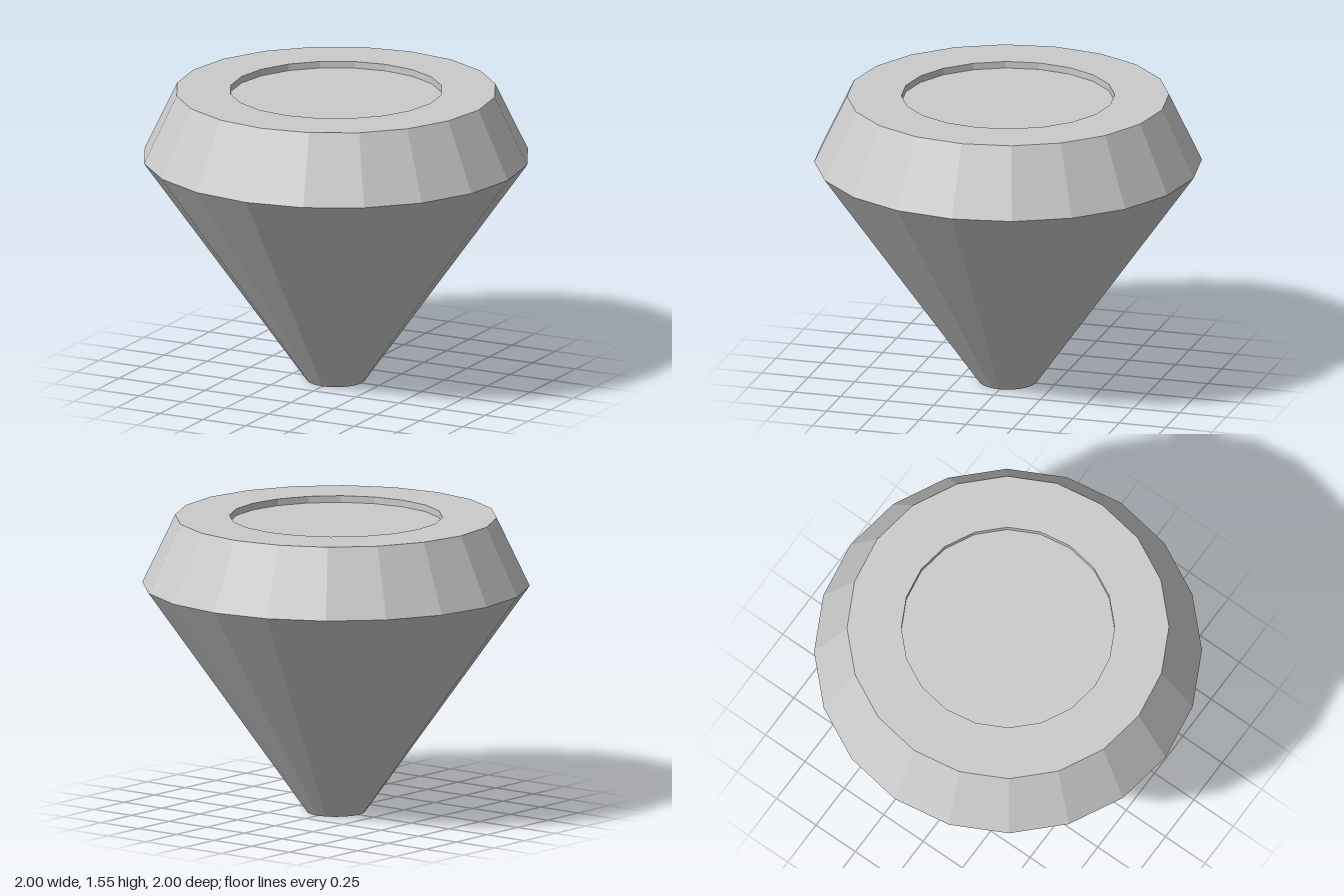
import * as THREE from 'three';

const SIDES = 20;

// Revolves a bottom-to-top [radius, height] profile into a faceted ring
function facetedPart(name, profile, material) {
  const points = profile.map(([r, y]) => new THREE.Vector2(r, y));
  const mesh = new THREE.Mesh(new THREE.LatheGeometry(points, SIDES), material);
  mesh.name = name;
  return mesh;
}

export function createModel() {
  const group = new THREE.Group();
  group.name = 'cutGem';
  const material = new THREE.MeshStandardMaterial({ color: 0xcccccc, flatShading: true });

  const baseRadius = 0.15, girdleRadius = 1, tableRadius = 0.83, recessRadius = 0.55;
  const girdleY = 1.195, topY = 1.55, recessY = 1.515;

  group.add(
    // Lower cone with its small flat tip
    facetedPart('pavilion', [[0, 0], [baseRadius, 0], [girdleRadius, girdleY]], material),
    // Sloping band above the widest edge
    facetedPart('crown', [[girdleRadius, girdleY], [tableRadius, topY]], material),
    // Flat top rim, then the wall and floor of the shallow round recess
    facetedPart('table', [[tableRadius, topY], [recessRadius, topY]], material),
    facetedPart('recess', [[recessRadius, topY], [recessRadius, recessY], [0, recessY]], material),
  );
  return group;
}
